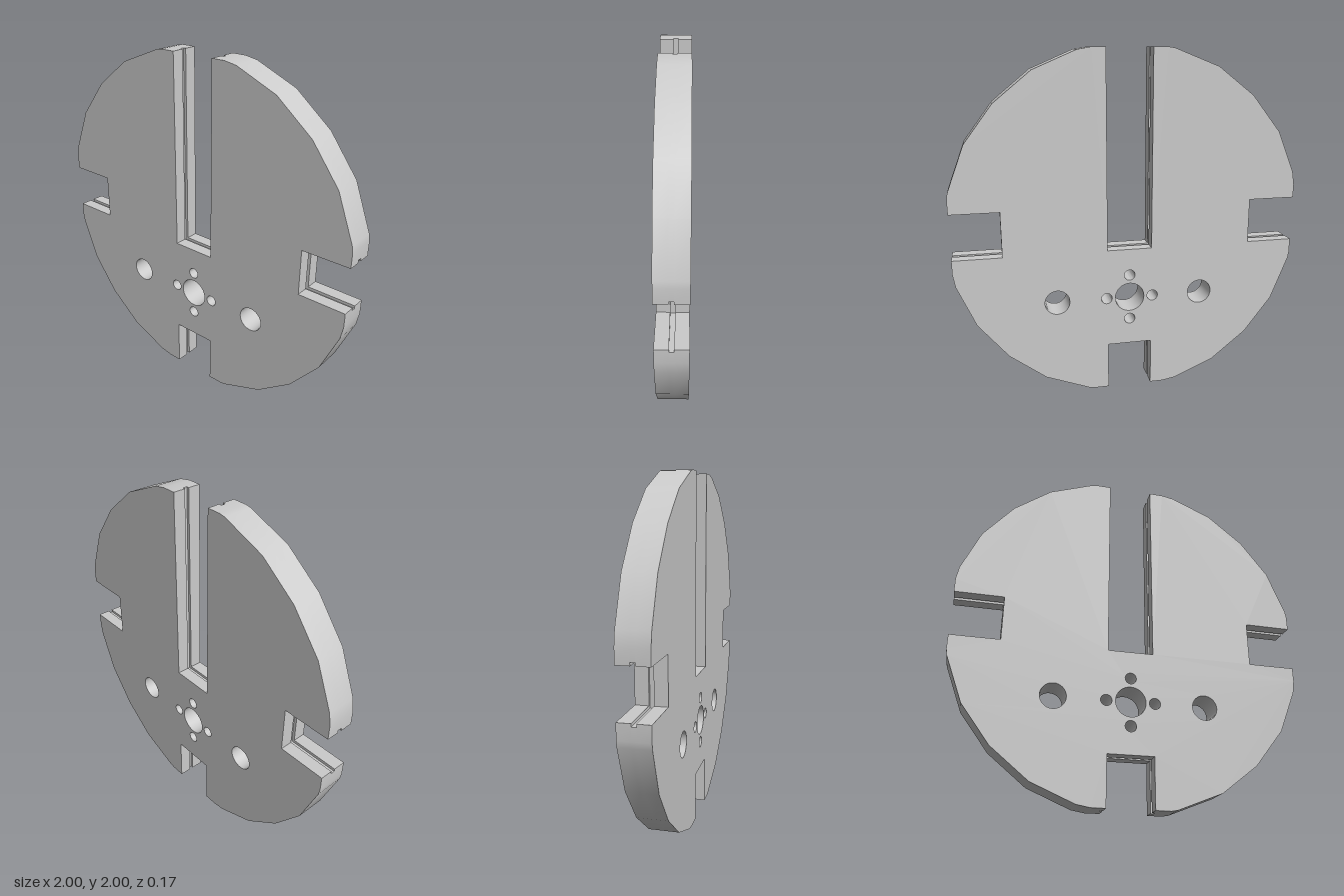
import * as THREE from 'three';
import { toCreasedNormals } from 'three/addons/utils/BufferGeometryUtils.js';

const SLOT = 0.13;                            // half width of every slot
const GROOVE = 0.016;                         // depth of the groove in the slot walls
const SLOT_ENDS = [-SLOT, 0.725, 0.72, 0.725]; // top, -x, bottom, +x: end's distance from centre
const LEVELS = [-0.084, -0.0125, -0.0125, 0.0125, 0.0125, 0.084];

// Rim of one quarter, between two slots
const QUARTER = [
  [1, SLOT], [1, 0.215], [0.994, 0.25], [0.895, 0.505], [0.735, 0.715],
  [0.525, 0.885], [0.285, 0.987], [0.21, 1], [SLOT, 1],
];

// Quarter turns, counter-clockwise
function turn([x, y], k) {
  for (let i = 0; i < k; i++) [x, y] = [-y, x];
  return new THREE.Vector2(x, y);
}

function discShape() {
  const outline = [];
  for (let k = 0; k < 4; k++) {
    const slotEnd = [[SLOT, SLOT_ENDS[k]], [-SLOT, SLOT_ENDS[k]]];
    for (const p of [...QUARTER, ...slotEnd]) outline.push(turn(p, k));
  }
  const shape = new THREE.Shape(outline);

  // Hub bore, its four bolt holes and the two side holes
  const hubY = -0.425;
  const holes = [[0, 0, 0.086], [-0.427, 0, 0.072], [0.427, 0, 0.072]];
  for (let k = 0; k < 4; k++) {
    const p = turn([0.137, 0], k);
    holes.push([p.x, p.y, 0.032]);
  }
  for (const [x, y, r] of holes) {
    shape.holes.push(new THREE.Path().absarc(x, hubY + y, r, 0, Math.PI * 2, true));
  }
  return shape;
}

// Push the slot walls outwards at the groove's levels
function widenSlots(v) {
  const near = (a, b) => Math.abs(a - b) < 1e-4;
  const { x, y } = v;
  if (near(Math.abs(x), SLOT)) v.x += Math.sign(x) * GROOVE;
  if (near(Math.abs(y), SLOT)) v.y += Math.sign(y) * GROOVE;
  if (near(Math.abs(x), SLOT_ENDS[1])) v.x -= Math.sign(x) * GROOVE;
  if (near(y, -SLOT_ENDS[2])) v.y += GROOVE;
}

function discGeometry() {
  const raw = new THREE.ExtrudeGeometry(discShape(), {
    depth: 1, steps: LEVELS.length - 1, bevelEnabled: false, curveSegments: 16,
  });
  const pos = raw.attributes.position;
  const kept = [];
  const tri = new THREE.Triangle();
  for (let i = 0; i < pos.count; i += 3) {
    [tri.a, tri.b, tri.c].forEach((v, j) => {
      v.fromBufferAttribute(pos, i + j);
      const level = Math.round(v.z * (LEVELS.length - 1));
      v.z = LEVELS[level];
      if (level === 2 || level === 3) widenSlots(v);
    });
    // Drop the flat slivers where the wall has no groove
    if (tri.getArea() > 1e-8) kept.push(...tri.a.toArray(), ...tri.b.toArray(), ...tri.c.toArray());
  }
  const geometry = new THREE.BufferGeometry();
  geometry.setAttribute('position', new THREE.Float32BufferAttribute(kept, 3));
  return toCreasedNormals(geometry, THREE.MathUtils.degToRad(35));
}

export function createModel() {
  const group = new THREE.Group();
  group.name = 'slottedDisc';
  const disc = new THREE.Mesh(discGeometry(), new THREE.MeshStandardMaterial({ color: 0xcccccc }));
  disc.name = 'discPlate';
  disc.position.y = 1;
  group.add(disc);
  return group;
}
